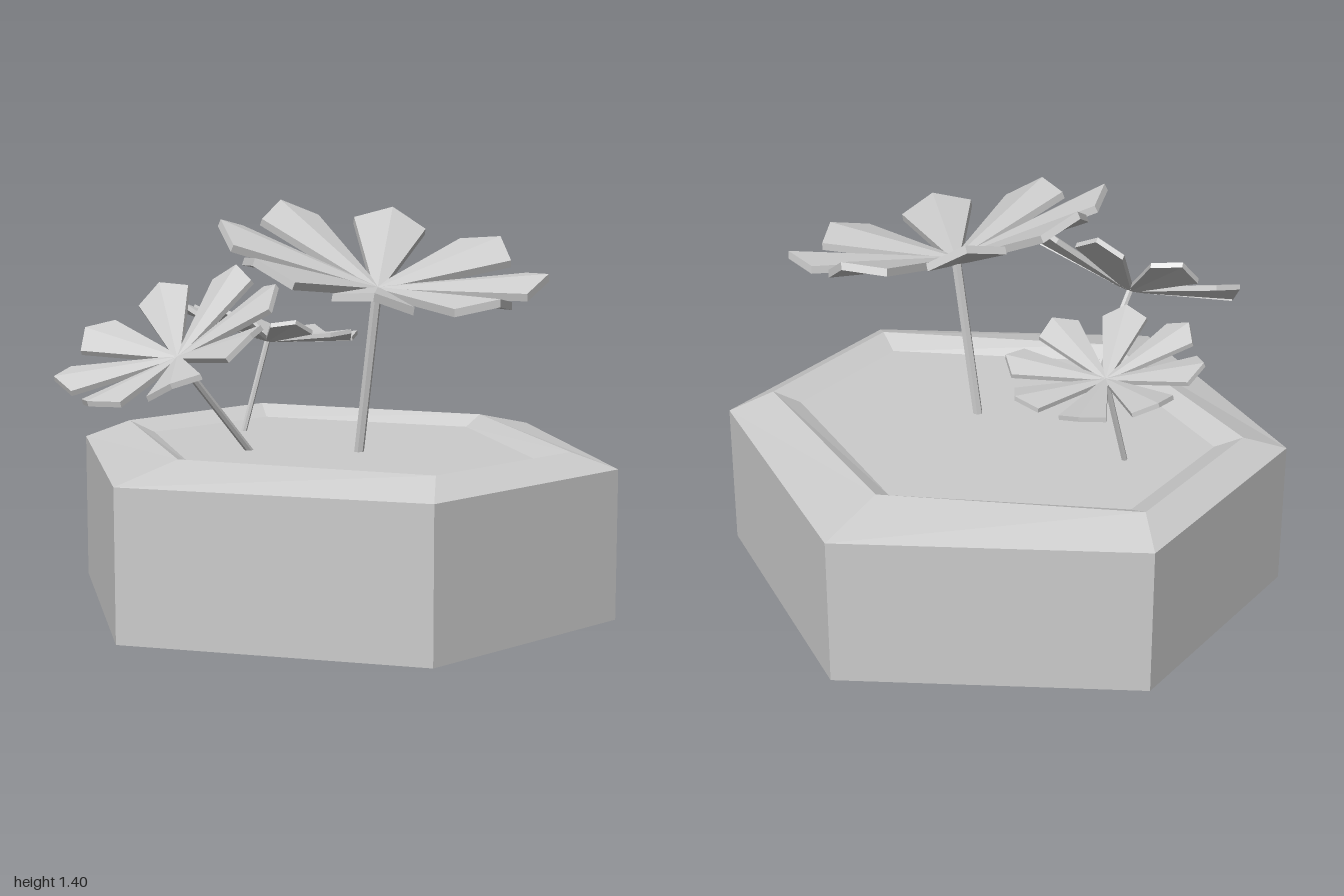
import * as THREE from 'three';

const material = new THREE.MeshStandardMaterial({ color: 0xcccccc, flatShading: true });

function mesh(name, geometry) {
  const m = new THREE.Mesh(geometry, material);
  m.name = name;
  return m;
}

function fromTriangles(points) {
  const g = new THREE.BufferGeometry();
  g.setAttribute('position', new THREE.Float32BufferAttribute(points.flat(), 3));
  g.computeVertexNormals();
  return g;
}

// Hexagon ring: side corner at x, long edge from -ex to ex at depth z
function hexRing(x, ex, z, y) {
  return [[x, 0], [ex, -z], [-ex, -z], [-x, 0], [-ex, z], [ex, z]].map(([px, pz]) => [px + 0.004, y, pz]);
}

// Skin a chain of rings
function loft(rings) {
  const tris = [];
  for (let k = 0; k < rings.length - 1; k++) {
    const lo = rings[k], hi = rings[k + 1], n = lo.length;
    for (let i = 0; i < n; i++) {
      const j = (i + 1) % n;
      tris.push(lo[i], lo[j], hi[j], lo[i], hi[j], hi[i]);
    }
  }
  return fromTriangles(tris);
}

// Kite-like petal along -z, folded along its middle ridge, with thickness
function petalGeometry(length) {
  const outline = [[0, 0], [0.05, 0.12], [0.225, 0.87], [0, 1], [-0.225, 0.87], [-0.05, 0.12]];
  const fold = 0.2, lift = 0.02, thickness = 0.045;
  const top = outline.map(([x, r]) => [x * length, (lift - fold * Math.abs(x)) * length, -r * length]);
  const bottom = top.map(([x, y, z]) => [x, y - thickness * length, z]);
  const tris = [];
  for (let i = 1; i < 5; i++) {
    tris.push(top[0], top[i], top[i + 1], bottom[0], bottom[i + 1], bottom[i]);
  }
  for (let i = 0; i < 6; i++) {
    const j = (i + 1) % 6;
    tris.push(bottom[i], bottom[j], top[j], bottom[i], top[j], top[i]);
  }
  return fromTriangles(tris);
}

// Straight stem between two points
function stem(from, to, radius) {
  const a = new THREE.Vector3(...from), b = new THREE.Vector3(...to);
  const dir = b.clone().sub(a);
  const m = mesh('stem', new THREE.CylinderGeometry(radius, radius, dir.length(), 6));
  m.position.copy(a).add(b).multiplyScalar(0.5);
  m.quaternion.setFromUnitVectors(new THREE.Vector3(0, 1, 0), dir.normalize());
  return m;
}

function flower({ name, base, center, normal, length, cup, spin }) {
  const group = new THREE.Group();
  group.name = name;
  group.add(stem(base, center, length * 0.03));

  const head = new THREE.Group();
  head.name = 'flowerHead';
  head.position.set(...center);
  head.quaternion.setFromUnitVectors(new THREE.Vector3(0, 1, 0), new THREE.Vector3(...normal).normalize());
  const geometry = petalGeometry(length);
  for (let i = 0; i < 8; i++) {
    const petal = mesh('petal', geometry);
    petal.rotation.set(cup, spin + (i * Math.PI) / 4, 0, 'YXZ');
    head.add(petal);
  }
  group.add(head);
  return group;
}

export function createModel() {
  const model = new THREE.Group();
  model.name = 'flowerPlanter';

  // Hexagonal planter: underside and walls, bevelled rim, sunken soil
  const foot = hexRing(0.995, 0.445, 0.9, 0);
  const wallTop = hexRing(0.995, 0.445, 0.9, 0.52);
  const rimTop = hexRing(0.73, 0.325, 0.79, 0.58);
  const soilEdge = hexRing(0.655, 0.275, 0.705, 0.54);
  model.add(mesh('planterWalls', loft([hexRing(0, 0, 0, 0), foot, wallTop])));
  model.add(mesh('planterRim', loft([wallTop, rimTop, soilEdge])));
  model.add(mesh('soil', loft([soilEdge, hexRing(0, 0, 0, 0.54)])));

  // Three flowers of different sizes, each leaning its own way
  const flowers = [
    { name: 'largeFlower', base: [-0.02, 0.53, 0.125], center: [-0.02, 1.11, 0.215],
      normal: [-0.03, 0.968, 0.25], length: 0.585, cup: 0.25, spin: -0.03 },
    { name: 'mediumFlower', base: [-0.27, 0.53, -0.16], center: [-0.6, 0.89, -0.15],
      normal: [-0.5, 0.866, 0], length: 0.42, cup: 0.26, spin: 0.09 },
    { name: 'smallFlower', base: [-0.015, 0.53, -0.5], center: [0.09, 0.875, -0.48],
      normal: [0.19, 0.98, 0.03], length: 0.35, cup: 0.23, spin: 0.32 },
  ];
  for (const f of flowers) model.add(flower(f));

  return model;
}
